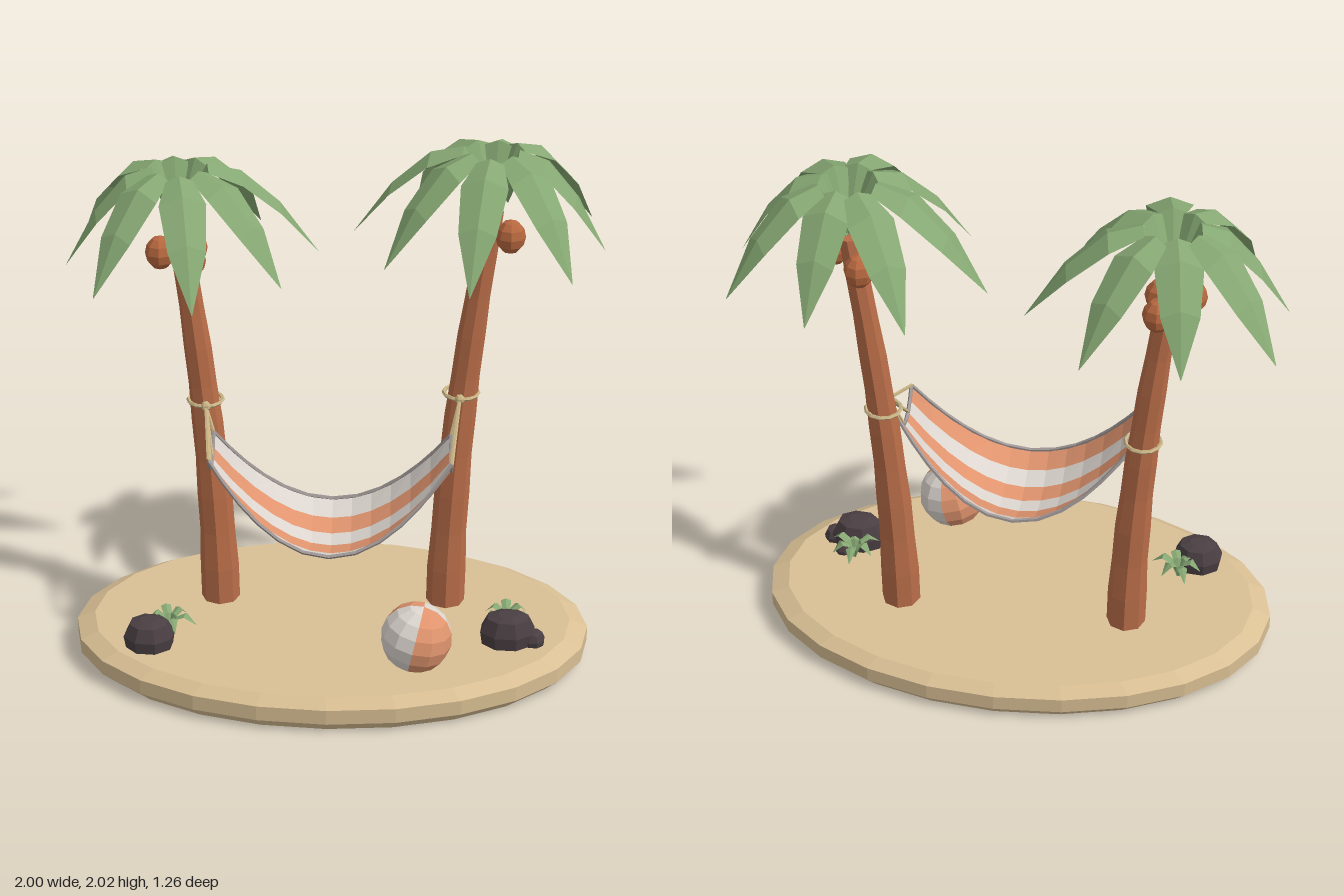
import * as THREE from 'three';

const mat = (name, color, side = THREE.FrontSide) =>
  Object.assign(new THREE.MeshStandardMaterial({ color, flatShading: true, side }), { name });

// open surface made from rows and columns of points
function grid(nu, nv, fn) {
  const pos = [], idx = [];
  for (let i = 0; i <= nu; i++) for (let j = 0; j <= nv; j++) pos.push(...fn(i, j));
  for (let i = 0; i < nu; i++) for (let j = 0; j < nv; j++) {
    const a = i * (nv + 1) + j, b = a + nv + 1;
    idx.push(a, a + 1, b, b, a + 1, b + 1);
  }
  const g = new THREE.BufferGeometry();
  g.setAttribute('position', new THREE.Float32BufferAttribute(pos, 3));
  g.setIndex(idx);
  g.computeVertexNormals();
  return g;
}

// folded leaf; rows are [distance, height, half width]
function leaf(rows, angle, length = 1, fold = 0.4) {
  const c = Math.cos(angle), s = Math.sin(angle);
  return grid(rows.length - 1, 2, (i, j) => {
    const [r, y, w] = rows[i], k = j - 1, d = r * length;
    return [c * d - s * w * k, y - Math.abs(k) * w * fold, s * d + c * w * k];
  });
}

export function createModel() {
  const sand = mat('sand', 0xd9bf94), bark = mat('bark', 0xb96d48), nut = mat('coconut', 0xb8683f);
  const green = mat('leaf green', 0x86a873, THREE.DoubleSide);
  const orange = mat('orange', 0xe0946e, THREE.DoubleSide);
  const white = mat('off white', 0xdcd5cf, THREE.DoubleSide);
  const rope = mat('rope', 0xc9b485), stone = mat('stone', 0x4a3f43), hem = mat('hem', 0xa09896);

  const model = new THREE.Group();
  const add = (name, geo, material, parent = model, p = [0, 0, 0]) => {
    const m = new THREE.Mesh(geo, material);
    m.name = name;
    m.position.set(...p);
    parent.add(m);
    return m;
  };
  const group = (name, p = [0, 0, 0]) => {
    const g = new THREE.Group();
    g.name = name;
    g.position.set(...p);
    model.add(g);
    return g;
  };
  const v3 = (p) => new THREE.Vector3(...p);

  // island
  const rim = [[0, 0], [0.95, 0], [1, 0.04], [1, 0.1], [0.93, 0.132], [0, 0.132]];
  add('island', new THREE.LatheGeometry(rim.map(p => new THREE.Vector2(...p)), 24), sand).scale.z = 0.628;

  // palms
  const frondRows = [[0, -0.2, 0.015], [0.11, 0.02, 0.05], [0.23, -0.01, 0.085], [0.37, -0.14, 0.068], [0.51, -0.345, 0.001]];
  const lengths = [0.94, 1.05, 0.93, 0.82, 0.92, 0.81, 0.95, 1.02];
  const palm = (name, s, top, lean) => {
    const g = group(name), h = top - 0.12;
    const trunk = new THREE.CylinderGeometry(1, 1, 1, 8, 10);
    const p = trunk.attributes.position;
    for (let i = 0; i < p.count; i++) {
      const t = p.getY(i) + 0.5;
      const r = (0.077 - 0.037 * t) * (Math.round(t * 10) % 2 ? 1.03 : 0.98);
      p.setXYZ(i, s * (0.445 + lean * t ** 1.8) + p.getX(i) * r, 0.12 + h * t, -0.14 + p.getZ(i) * r);
    }
    trunk.computeVertexNormals();
    add('trunk', trunk, bark, g);

    const cx = s * (0.445 + lean);
    lengths.forEach((len, i) => {
      const a = (35 + 45 * i) * Math.PI / 180;
      add('frond', leaf(frondRows, s < 0 ? a : Math.PI - a, len), green, g, [cx, top + 0.22, -0.15]);
    });
    for (const [x, y, z] of [[0.065, -0.08, 0.05], [-0.05, -0.1, 0.07], [-0.045, -0.1, -0.06]])
      add('coconut', new THREE.SphereGeometry(0.056, 8, 6), nut, g, [cx + s * x, top + y, -0.145 + z]).scale.y = 1.15;
  };
  palm('leftPalm', 1, 1.775, 0.14);
  palm('rightPalm', -1, 1.695, 0.125);

  // hammock cloth: sags along u, cups across v
  const cloth = (u, v) => [0.45 * u, 0.49 + 0.34 * u * u + 0.08 * v * v, 0.08 + (0.23 - 0.11 * u * u) * v];
  const hammock = group('hammock');
  for (let k = 0; k < 6; k++)
    add('stripe', grid(12, 1, (i, j) => cloth(i / 6 - 1, (k + j) / 3 - 1)), k % 2 ? orange : white, hammock);

  // hems on all four edges
  const edge = (fn, n) => {
    const pts = Array.from({ length: n + 1 }, (_, i) => v3(fn(i * 2 / n - 1)));
    add('hem', new THREE.TubeGeometry(new THREE.CatmullRomCurve3(pts), n, 0.008, 5), hem, hammock);
  };
  for (const e of [-1, 1]) {
    edge(t => cloth(t, e), 12);
    edge(t => cloth(e, t), 6);
  }

  // ropes, knots and trunk loops
  for (const [s, y] of [[1, 1.04], [-1, 0.995]]) {
    const knot = [s * 0.48, y, -0.08];
    for (const v of [-1, -0.35, 0.35, 1])
      add('rope', new THREE.TubeGeometry(new THREE.LineCurve3(v3(knot), v3(cloth(s, v))), 1, 0.007, 5), rope, hammock);
    add('knot', new THREE.SphereGeometry(0.02, 6, 5), rope, hammock, knot);
    add('trunkLoop', new THREE.TorusGeometry(0.066, 0.008, 5, 12), rope, hammock, [s * 0.486, y, -0.143]).rotation.x = Math.PI / 2;
  }

  // beach ball
  const ball = group('beachBall', [0.33, 0.267, 0.37]);
  ball.rotation.z = -0.2;
  for (let k = 0; k < 4; k++)
    add('panel', new THREE.SphereGeometry(0.135, 3, 8, Math.PI / 2 - 0.12 - k * Math.PI / 2, Math.PI / 2), k % 2 ? white : orange, ball);

  // rocks
  const rock = (x, z, r, h, sz = 1) => {
    const prof = [[0, 0], [0.92, 0], [1, 0.45], [0.75, 0.9], [0.35, 1], [0, 1]];
    const geo = new THREE.LatheGeometry(prof.map(([a, b]) => new THREE.Vector2(a * r, b * h)), 8, 0.3);
    add('rock', geo, stone, model, [x, 0.128, z]).scale.z = sz;
  };
  rock(-0.69, 0.24, 0.1, 0.115, 0.85);
  rock(0.68, 0.17, 0.11, 0.125, 0.75);
  rock(0.78, 0.18, 0.045, 0.055);
  rock(0.73, 0.1, 0.035, 0.045);

  // small plants beside the rocks
  const blade = [[0, 0, 0.006], [0.03, 0.075, 0.016], [0.07, 0.095, 0.02], [0.12, 0.05, 0.001]];
  for (const [x, z, turn] of [[-0.62, 0.15, 0.2], [0.68, 0.07, 0.5]]) {
    const plant = group('plant', [x, 0.13, z]);
    for (let i = 0; i < 6; i++)
      add('blade', leaf(blade, turn + i * Math.PI / 3, i % 2 ? 0.75 : 0.9), green, plant);
  }
  return model;
}
